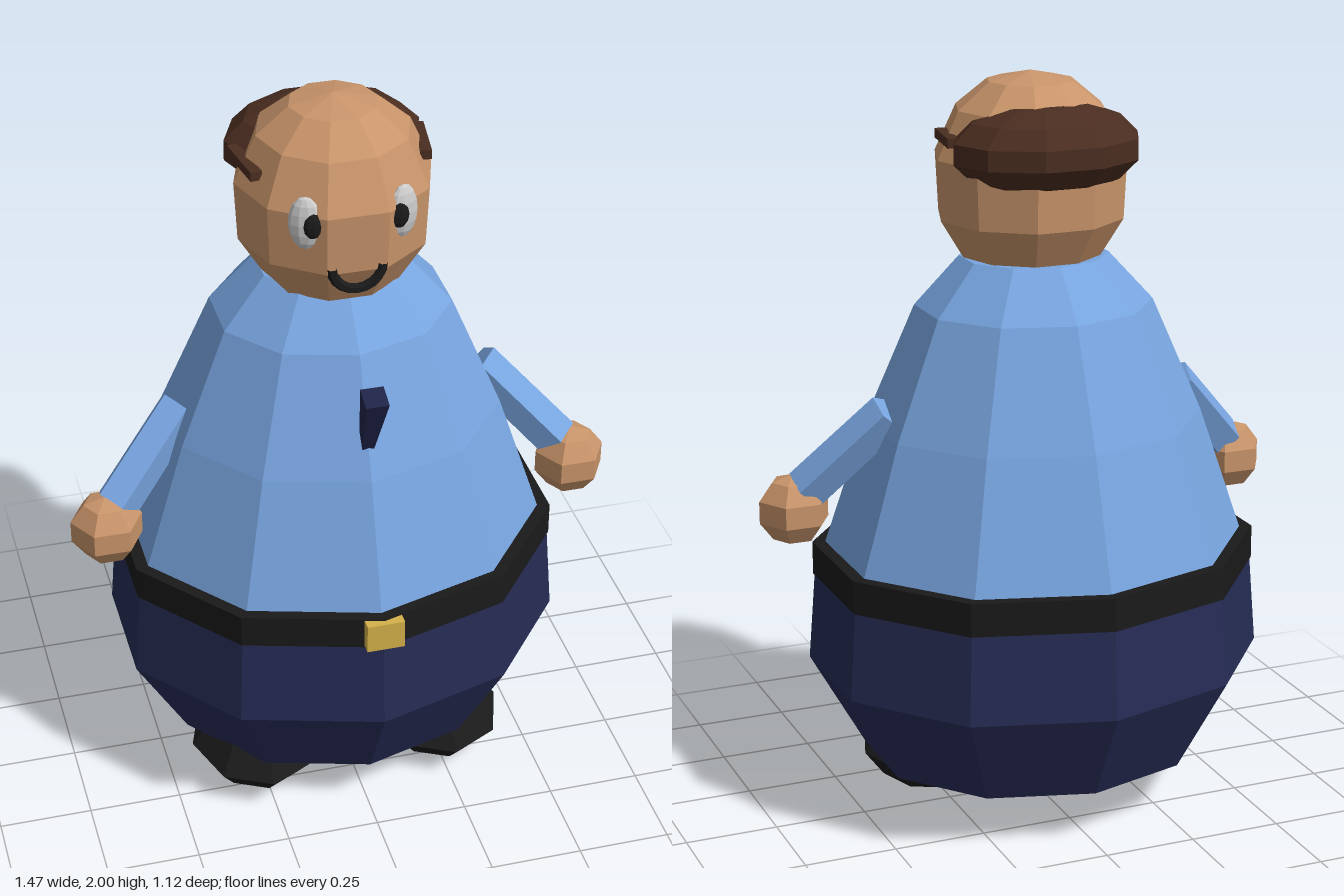
import * as THREE from 'three';

const mat = (color) => new THREE.MeshStandardMaterial({ color, flatShading: true });
const V = (x, y) => new THREE.Vector2(x, y);

export function createModel() {
  const group = new THREE.Group();
  const shirtMat = mat(0x78a5e0), pantsMat = mat(0x262c55), skinMat = mat(0xc8946a);
  const hairMat = mat(0x4a2d20), blackMat = mat(0x1a1a1a), whiteMat = mat(0xe6e6e6);
  const goldMat = mat(0xd4b04a), tieMat = mat(0x1f2448);

  const add = (name, geometry, material, x = 0, y = 0, z = 0) => {
    const mesh = new THREE.Mesh(geometry, material);
    mesh.name = name;
    mesh.position.set(x, y, z);
    group.add(mesh);
    return mesh;
  };
  const ellipsoid = (rx, ry, rz, w, h) => new THREE.SphereGeometry(1, w, h).scale(rx, ry, rz);
  const lathe = (pts, phi = 0) => new THREE.LatheGeometry(pts.map(p => V(...p)), 10, phi);

  // Ten-sided torso, slightly flattened front to back
  add('trousers', lathe([[0, 0.15], [0.47, 0.15], [0.62, 0.41], [0.6, 0.66], [0, 0.66]]).scale(1, 1, 0.9), pantsMat);
  add('belt', new THREE.CylinderGeometry(0.605, 0.605, 0.09, 10).scale(1, 1, 0.9), blackMat, 0, 0.695, 0);
  add('shirt', lathe([[0.575, 0.7], [0.57, 0.74], [0.455, 1.08], [0.32, 1.39], [0.2, 1.52], [0, 1.52]]).scale(1, 1, 0.9), shirtMat);
  add('buckle', new THREE.BoxGeometry(0.1, 0.08, 0.035), goldMat, 0, 0.697, 0.543);

  // Tapered tie leaning out from the chest
  const tie = add('tie', new THREE.CylinderGeometry(0.043, 0.017, 0.25, 4).rotateY(Math.PI / 4), tieMat, 0, 1.235, 0.385);
  tie.rotation.x = 0.36;

  // Head with a flat facet facing front
  add('head', lathe([[0, 1.48], [0.18, 1.505], [0.25, 1.62], [0.258, 1.78], [0.2, 1.905], [0.115, 1.975], [0, 2]], Math.PI / 10),
    skinMat, 0, 0, 0.025);
  add('hair', ellipsoid(0.263, 0.122, 0.198, 10, 7), hairMat, 0, 1.815, -0.085);

  // Half-ring smile
  add('mouth', new THREE.TorusGeometry(0.066, 0.014, 6, 10, Math.PI).rotateZ(Math.PI), blackMat, 0, 1.637, 0.26);

  const up = new THREE.Vector3(0, 1, 0);
  for (const [side, s] of [['left', 1], ['right', -1]]) {
    // Face details
    const eye = add(side + 'Eye', ellipsoid(0.043, 0.073, 0.024, 10, 8), whiteMat, s * 0.125, 1.757, 0.228);
    eye.rotation.y = s * 0.4;
    add(side + 'Pupil', ellipsoid(0.025, 0.035, 0.014, 8, 6), blackMat, s * 0.11, 1.757, 0.25);
    const sideburn = add(side + 'Sideburn', new THREE.BoxGeometry(0.03, 0.025, 0.16), hairMat, s * 0.23, 1.837, 0.03);
    sideburn.rotation.y = s * -0.15;

    // Sleeve running from shoulder to wrist
    const a = new THREE.Vector3(s * 0.41, 1.13, 0), b = new THREE.Vector3(s * 0.61, 0.915, 0.1);
    const mid = a.clone().add(b).multiplyScalar(0.5), dir = a.clone().sub(b);
    const sleeve = add(side + 'Sleeve', new THREE.CylinderGeometry(0.06, 0.062, dir.length(), 5), shirtMat, mid.x, mid.y, mid.z);
    sleeve.quaternion.setFromUnitVectors(up, dir.normalize());
    add(side + 'Hand', ellipsoid(0.1, 0.097, 0.1, 6, 5), skinMat, s * 0.64, 0.858, 0.118);

    // Shoe
    add(side + 'Shoe', ellipsoid(0.18, 0.098, 0.224, 8, 4), blackMat, s * 0.26, 0.103, 0.16);
  }
  return group;
}
